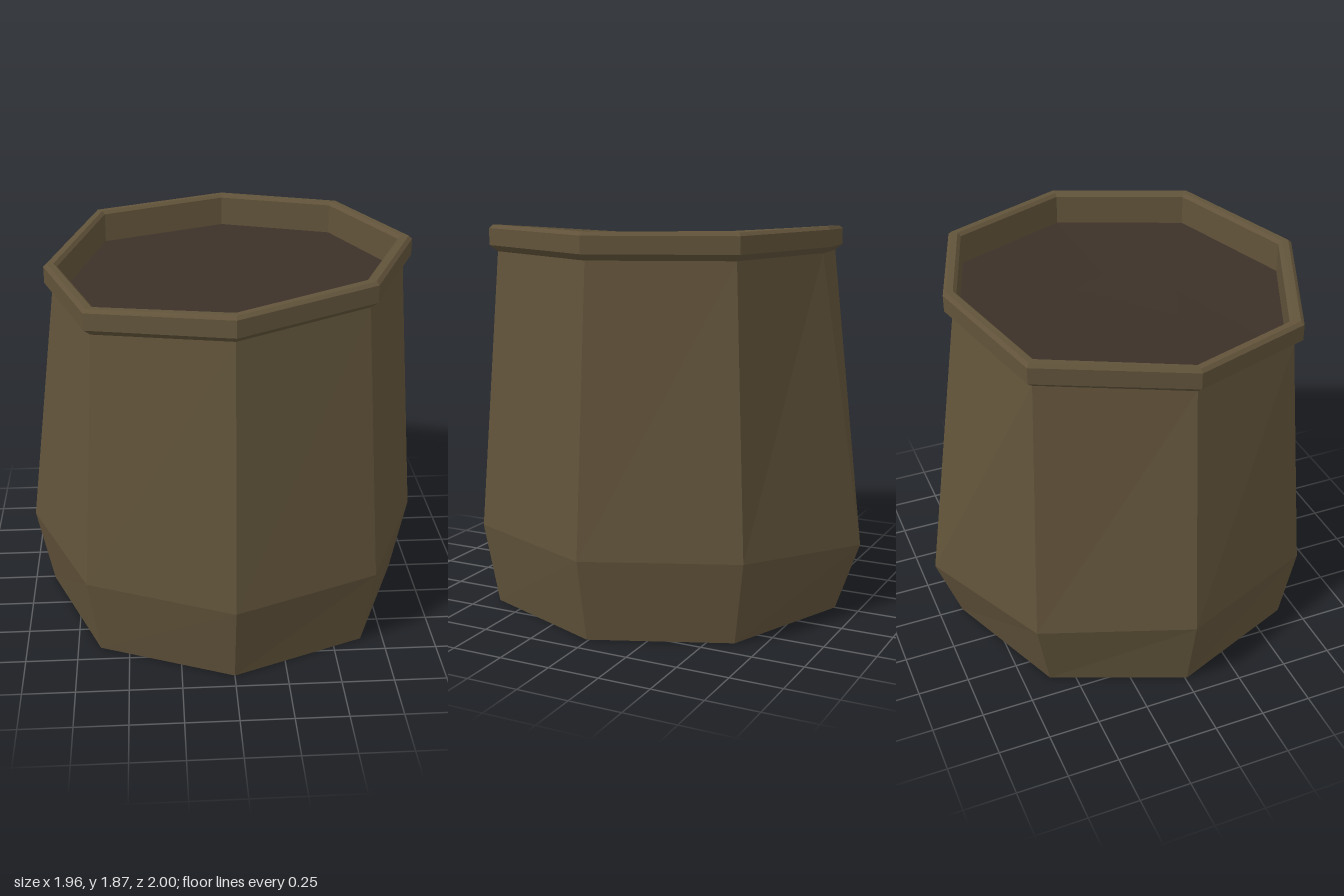
import * as THREE from 'three';

const sackCloth = new THREE.MeshStandardMaterial({ color: 0x61533a, flatShading: true });
sackCloth.name = 'sack cloth';
const darkContents = new THREE.MeshStandardMaterial({ color: 0x3c3128, flatShading: true });
darkContents.name = 'dark contents';

// Each ring has eight points [x, y, z], from the front round by the model's left.
const base = [[0, 0.92], [0.64, 0.66], [0.9, 0.01], [0.64, -0.62], [0, -0.88], [-0.64, -0.62], [-0.9, 0.01], [-0.64, 0.66]]
  .map(([x, z]) => [x, 0, z]);
const belly = [[0, 0.4, 1], [0.69, 0.4, 0.71], [0.98, 0.4, 0.01], [0.69, 0.4, -0.68],
  [0, 0.34, -1], [-0.72, 0.4, -0.7], [-0.98, 0.4, 0.01], [-0.69, 0.4, 0.71]];
// Neck points carry the sagging height of the rim's top edge.
const mouth = [[0, 1.82, 0.89], [0.61, 1.865, 0.635], [0.87, 1.865, 0.01], [0.61, 1.865, -0.6],
  [0.04, 1.865, -0.79], [-0.6, 1.83, -0.63], [-0.82, 1.77, 0.04], [-0.62, 1.76, 0.62]];

// A copy of the mouth, scaled about the axis and lowered.
const mouthRing = (scale, drop) => mouth.map(([x, y, z]) => [x * scale, y - drop, z * scale]);
const point = (x, y, z) => Array.from({ length: 8 }, () => [x, y, z]);

// Skin consecutive rings with flat faces.
function skin(name, rings, material) {
  const pos = [];
  for (let r = 0; r < rings.length - 1; r++) {
    for (let i = 0; i < 8; i++) {
      const j = (i + 1) % 8;
      const a = rings[r][i], b = rings[r][j], c = rings[r + 1][j], d = rings[r + 1][i];
      if (a !== b && String(a) !== String(b)) pos.push(...a, ...b, ...c);
      if (String(c) !== String(d)) pos.push(...a, ...c, ...d);
    }
  }
  const geometry = new THREE.BufferGeometry();
  geometry.setAttribute('position', new THREE.Float32BufferAttribute(pos, 3));
  geometry.computeVertexNormals();
  const mesh = new THREE.Mesh(geometry, material);
  mesh.name = name;
  return mesh;
}

export function createModel() {
  const group = new THREE.Group();
  group.name = 'openSack';

  // Body with closed underside
  group.add(skin('body', [point(0, 0, 0), base, belly, mouthRing(1, 0.125)], sackCloth));

  // Rolled rim and the inner wall below it
  group.add(skin('rolledRim', [
    mouthRing(1, 0.125), mouthRing(1.045, 0.095), mouthRing(1.045, 0.015),
    mouthRing(1.025, 0), mouthRing(0.985, 0), mouthRing(0.965, 0.015), mouthRing(0.965, 0.16),
  ], sackCloth));

  // Contents, gently levelled towards the middle
  const middle = mouthRing(0.31, 0).map(([x, y, z]) => [x, 1.66 + (y - 1.82) * 0.2, z + 0.04]);
  group.add(skin('contents', [mouthRing(0.965, 0.16), middle, point(0, 1.66, 0.04)], darkContents));

  return group;
}
